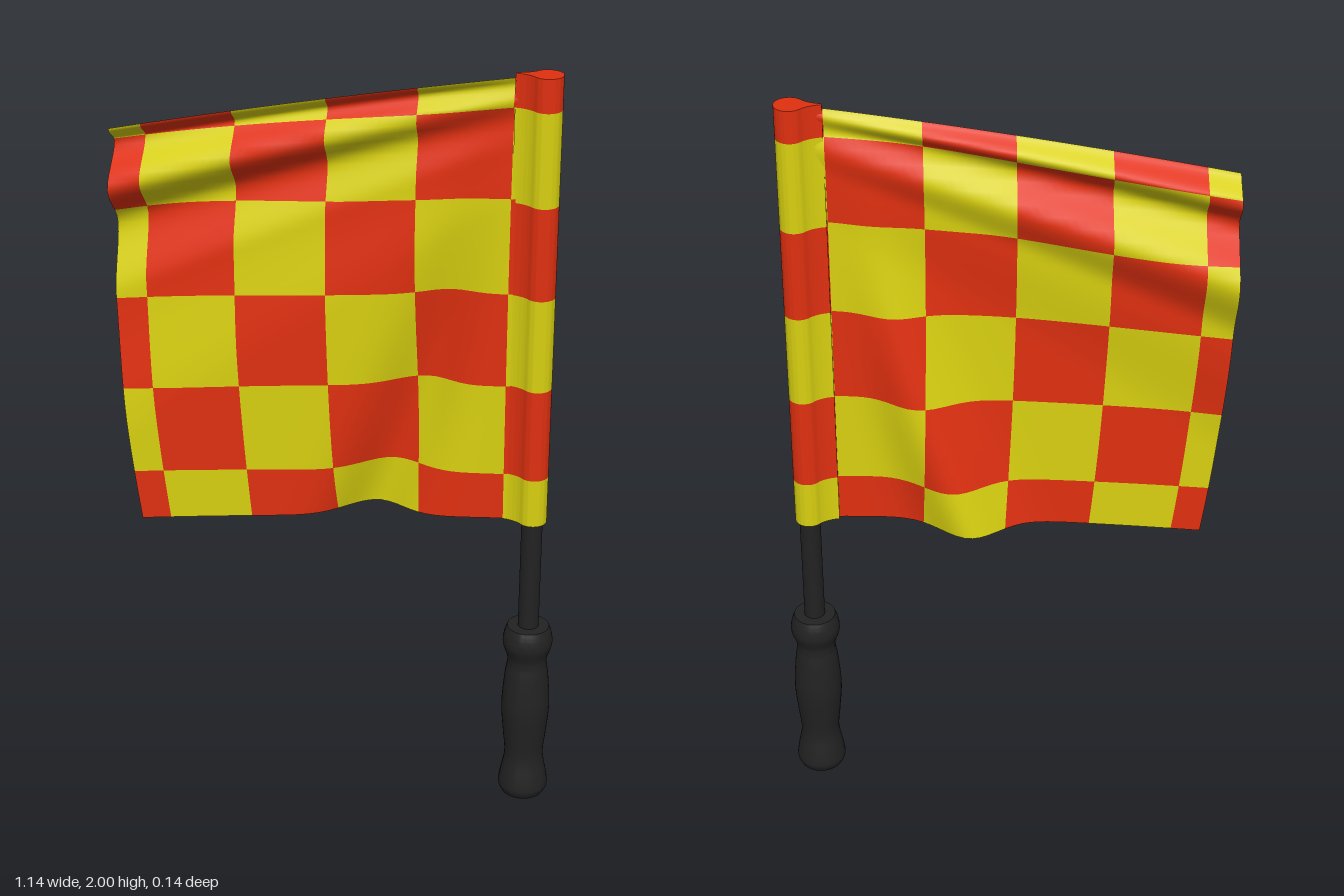
import * as THREE from 'three';
import { toCreasedNormals } from 'three/addons/utils/BufferGeometryUtils.js';

const POLE_X = 0.502;

function material(name, color, side = THREE.FrontSide) {
  const m = new THREE.MeshStandardMaterial({ color, side });
  m.name = name;
  return m;
}

// Smooth interpolation through [position, value] knots
function sample(knots, t) {
  if (t <= knots[0][0]) return knots[0][1];
  for (let i = 1; i < knots.length; i++) {
    const [a, va] = knots[i - 1], [b, vb] = knots[i];
    if (t <= b) return THREE.MathUtils.lerp(va, vb, THREE.MathUtils.smoothstep(t, a, b));
  }
  return knots[knots.length - 1][1];
}

// Checker lines: u runs from pole to free edge, v from bottom to top
const COLUMNS = [0.05, 0.072, 0.289, 0.497, 0.713, 0.925, 1];
const ROWS_POLE = [0, 0.106, 0.314, 0.525, 0.737, 0.935, 1];
const ROWS_EDGE = [0, 0.127, 0.344, 0.57, 0.782, 0.957, 1];

// Folds running out from the top of the pole, by scaled depth below the top hem
const FOLDS = [[0, 0.015], [0.27, -0.045], [0.73, 0.032], [1.35, -0.06], [2.2, 0.0], [4, 0.032]];

function clothPoint(u, v) {
  const edge = -0.51 - 0.155 * v + 0.1 * v * v;
  const x = THREE.MathUtils.lerp(0.5, edge, u);
  const top = 2 - 0.16 * u - 0.035 * u * u;
  const bottom = 0.82 - 0.035 * u - 0.04 * u * u;
  const y = THREE.MathUtils.lerp(bottom, top, v);
  const depth = (top - y) / (0.07 + 0.135 * u);
  let z = sample(FOLDS, depth) * Math.pow(u, 0.7);
  // Slanting valley that deepens toward the bottom hem
  const valley = (x - (0.09 + 0.33 * (y - 0.8))) / 0.1;
  const strength = 0.09 * Math.max(0, 1 - (y - 0.8) / 1.15);
  z -= strength * Math.exp(-valley * valley) * THREE.MathUtils.smoothstep(u, 0.05, 0.25);
  return [x, y, z];
}

function clothGeometry() {
  const n = 10, cells = COLUMNS.length - 1, side = cells * n + 1;
  const at = (list, i) => {
    const k = Math.min(Math.floor(i / n), cells - 1);
    return THREE.MathUtils.lerp(list[k], list[k + 1], i / n - k);
  };
  const positions = [], indices = [[], []];
  for (let i = 0; i < side; i++) {
    const u = at(COLUMNS, i);
    for (let j = 0; j < side; j++) {
      const v = THREE.MathUtils.lerp(at(ROWS_POLE, j), at(ROWS_EDGE, j), u);
      positions.push(...clothPoint(u, v));
    }
  }
  for (let i = 0; i < side - 1; i++) {
    for (let j = 0; j < side - 1; j++) {
      const a = i * side + j, b = a + side;
      const colour = (Math.floor(i / n) + Math.floor(j / n) + 1) % 2;
      indices[colour].push(a, a + 1, b, b, a + 1, b + 1);
    }
  }
  const g = new THREE.BufferGeometry();
  g.setAttribute('position', new THREE.Float32BufferAttribute(positions, 3));
  g.setIndex([...indices[0], ...indices[1]]);
  g.addGroup(0, indices[0].length, 0);
  g.addGroup(indices[0].length, indices[1].length, 1);
  g.computeVertexNormals();
  return g;
}

// Teardrop section of the cloth wrapped around the pole
function sleeveShape() {
  const r = 0.037, a = 2.5;
  const s = new THREE.Shape();
  s.moveTo(-0.077, -0.003);
  s.quadraticCurveTo(-0.05, -0.006, r * Math.cos(a), -r * Math.sin(a));
  s.absarc(0, 0, r, -a, a, false);
  s.quadraticCurveTo(-0.05, 0.006, -0.077, 0.003);
  s.closePath();
  return s;
}

export function createModel() {
  const model = new THREE.Group();
  const red = material('flag red', 0xe03010, THREE.DoubleSide);
  const yellow = material('flag yellow', 0xd8d010, THREE.DoubleSide);
  const black = material('grip black', 0x222222);
  const add = (name, geometry, mat, x = 0, y = 0) => {
    const mesh = new THREE.Mesh(geometry, mat);
    mesh.name = name;
    mesh.position.set(x, y, 0);
    model.add(mesh);
    return mesh;
  };

  // Contoured grip
  const profile = new THREE.SplineCurve([
    [0.056, 0.004], [0.065, 0.025], [0.061, 0.06], [0.051, 0.12], [0.057, 0.19], [0.063, 0.27],
    [0.057, 0.36], [0.051, 0.41], [0.064, 0.455], [0.062, 0.485], [0.054, 0.508],
  ].map(([r, y]) => new THREE.Vector2(r, y))).getPoints(50);
  const grip = new THREE.LatheGeometry(
    [new THREE.Vector2(0, 0), new THREE.Vector2(0.05, 0), ...profile, new THREE.Vector2(0, 0.51)], 40);
  add('grip', toCreasedNormals(grip, 0.7), black, POLE_X);

  // Pole between grip and sleeve
  add('pole', new THREE.CylinderGeometry(0.027, 0.027, 1.45, 32), black, POLE_X, 1.225);

  // Sleeve bands
  const levels = [0.815, 0.945, 1.19, 1.435, 1.675, 1.915, 2];
  const shape = sleeveShape();
  for (let i = 0; i < levels.length - 1; i++) {
    const g = new THREE.ExtrudeGeometry(shape,
      { depth: levels[i + 1] - levels[i], bevelEnabled: false, curveSegments: 24 });
    g.rotateX(-Math.PI / 2);
    add('sleeveBand', toCreasedNormals(g, 0.7), i % 2 ? red : yellow, POLE_X, levels[i]);
  }

  // Chequered cloth
  add('cloth', clothGeometry(), [red, yellow]);
  return model;
}
